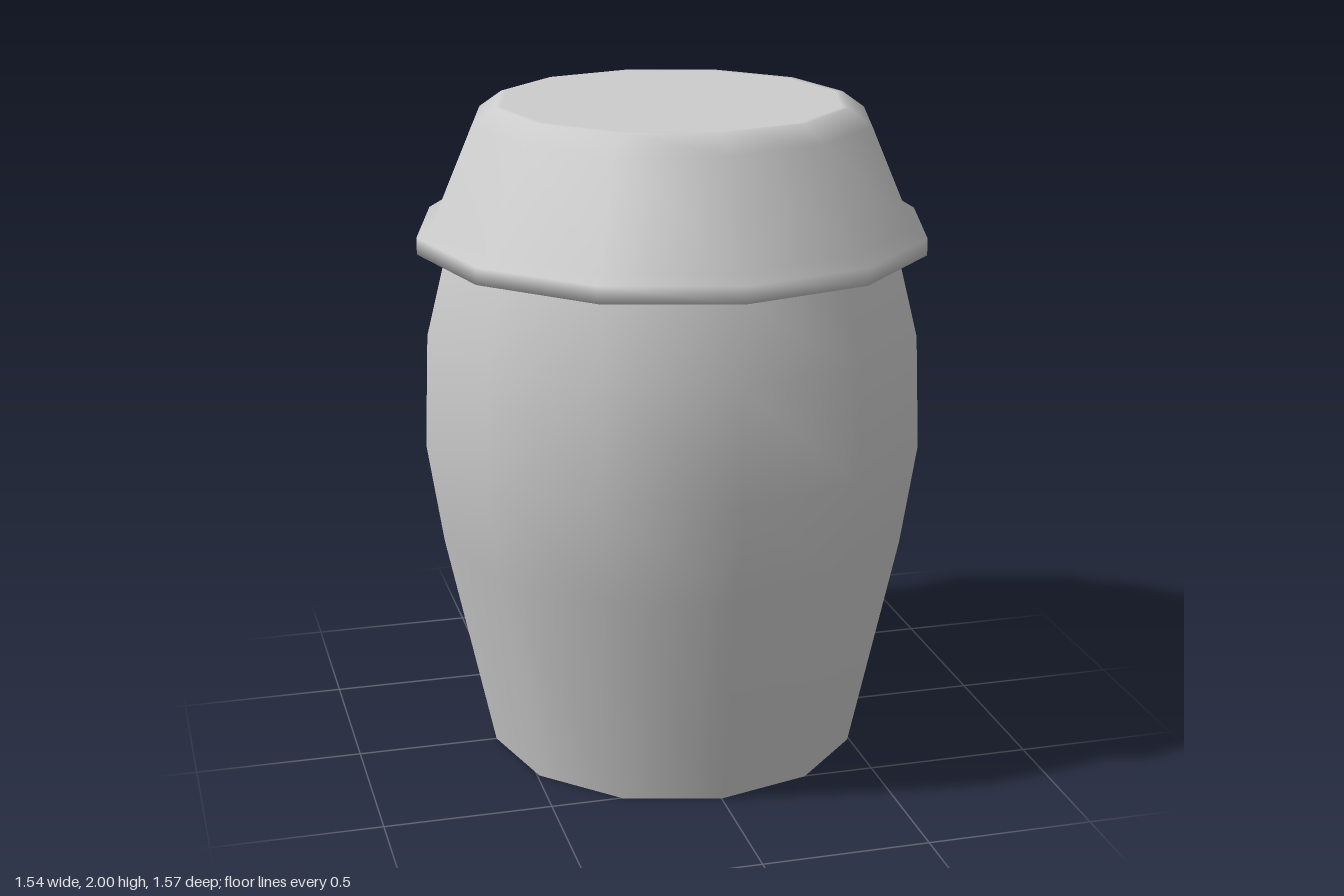
import * as THREE from 'three';

const SIDES = 12;
const DEPTH = 1.018; // slightly deeper than wide

function turned(name, profile) {
  const points = profile.map(([r, y]) => new THREE.Vector2(r, y));
  const geometry = new THREE.LatheGeometry(points, SIDES);
  geometry.scale(1, 1, DEPTH);
  const material = new THREE.MeshStandardMaterial({ color: 0xcccccc, side: THREE.DoubleSide });
  const mesh = new THREE.Mesh(geometry, material);
  mesh.name = name;
  return mesh;
}

export function createModel() {
  const group = new THREE.Group();
  group.name = 'liddedJar';

  // Bulging hollow body, open at the foot
  group.add(turned('body', [
    [0.57, 0], [0.715, 0.68], [0.762, 0.99], [0.748, 1.33], [0.685, 1.58], [0.665, 1.64],
  ]));

  // Flared lid with an overhanging rim and a bevelled flat top
  group.add(turned('lid', [
    [0.675, 1.578], [0.771, 1.578], [0.771, 1.628], [0.728, 1.655],
    [0.6, 1.95], [0.53, 2], [0.51, 2], [0, 2],
  ]));

  return group;
}
